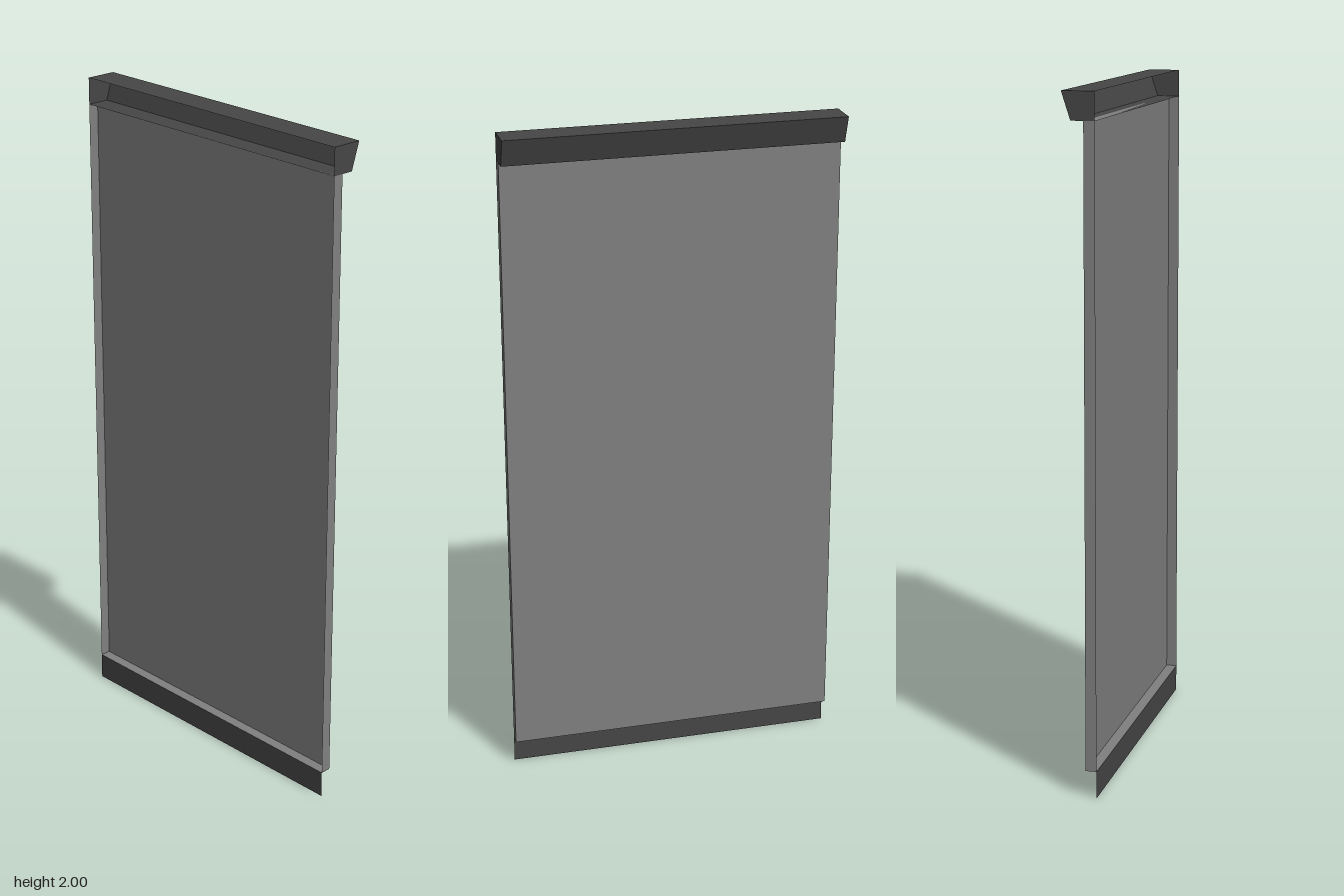
import * as THREE from 'three';

const BACK = -0.047, HALF = 0.5;

// Shell swept along z from a four-point section (counter-clockwise); the back wall is left open.
function openShell(section) {
  const pos = [];
  const at = ([x, y], z) => [x, y, z];
  const quad = (a, b, c, d) => pos.push(...a, ...b, ...c, ...a, ...c, ...d);
  for (let i = 0; i < 3; i++) {
    const p = section[i], q = section[i + 1];
    quad(at(p, HALF), at(p, -HALF), at(q, -HALF), at(q, HALF));
  }
  quad(...section.map(p => at(p, HALF)));
  quad(...[...section].reverse().map(p => at(p, -HALF)));
  const geo = new THREE.BufferGeometry();
  geo.setAttribute('position', new THREE.Float32BufferAttribute(pos, 3));
  geo.computeVertexNormals();
  return geo;
}

export function createModel() {
  const group = new THREE.Group();
  const panelGrey = new THREE.MeshStandardMaterial({ color: 0x808080, side: THREE.DoubleSide });
  panelGrey.name = 'panel grey';
  const trimGrey = new THREE.MeshStandardMaterial({ color: 0x464646, side: THREE.DoubleSide });
  trimGrey.name = 'trim dark grey';

  const add = (name, geo, mat) => {
    const mesh = new THREE.Mesh(geo, mat);
    mesh.name = name;
    group.add(mesh);
    return mesh;
  };

  // Wall panel, hollow towards the back
  add('wallPanel', openShell([[BACK, 0.08], [-0.015, 0.08], [-0.015, 1.92], [BACK, 1.92]]), panelGrey);

  // Overhanging top trim with a sloped face
  add('topTrim', openShell([[BACK, 1.92], [0.021, 1.92], [0.047, 2], [BACK, 2]]), trimGrey);

  // Flat skirting sheet, set back under the panel
  const skirting = add('skirting', new THREE.PlaneGeometry(2 * HALF, 0.08), trimGrey);
  skirting.rotation.y = Math.PI / 2;
  skirting.position.set(BACK, 0.04, 0);

  return group;
}
